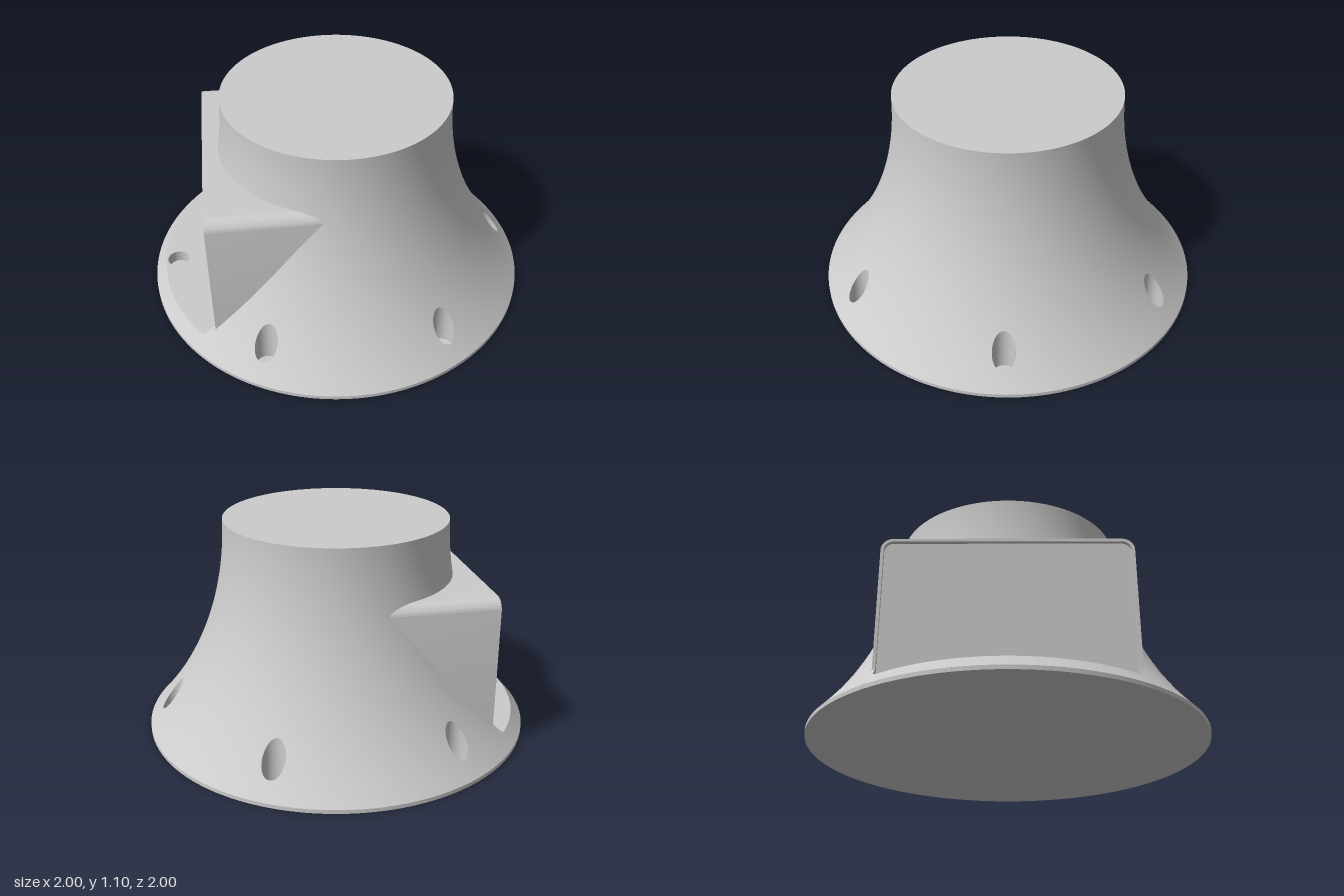
import * as THREE from 'three';
import { toCreasedNormals } from 'three/addons/utils/BufferGeometryUtils.js';

const H = 1.1, NECK = 0.573, ARC = 1.579, RIM = 0.02;
const BOLT_R = 0.875, HOLE = 0.057, FLOOR = 0.02;
const SHELF = 0.085, CUT = 0.58, PANEL = 0.66;
const rad = THREE.MathUtils.degToRad;

// The flare is one circular arc swept round the y axis
const radiusAt = (y) => NECK + ARC - Math.sqrt(ARC * ARC - (H - y) ** 2);
const heightAt = (r) => H - Math.sqrt(ARC * ARC - (NECK + ARC - r) ** 2);

const material = new THREE.MeshStandardMaterial({ color: 0xcccccc, side: THREE.DoubleSide });

// Grid surface of f(u, v); its front lies along dv x du
function grid(nu, nv, f, normalOf) {
  const pos = [], nor = [], idx = [];
  for (let j = 0; j <= nv; j++) {
    for (let i = 0; i <= nu; i++) {
      const p = f(i / nu, j / nv);
      pos.push(...p);
      if (normalOf) nor.push(...normalOf(p));
      if (i < nu && j < nv) {
        const a = j * (nu + 1) + i, c = a + nu + 1;
        idx.push(a, c, a + 1, a + 1, c, c + 1);
      }
    }
  }
  const g = new THREE.BufferGeometry();
  g.setAttribute('position', new THREE.Float32BufferAttribute(pos, 3));
  g.setIndex(idx);
  if (normalOf) g.setAttribute('normal', new THREE.Float32BufferAttribute(nor, 3));
  else g.computeVertexNormals();
  return g;
}

const flarePoint = (a, y) => [radiusAt(y) * Math.cos(a), y, radiusAt(y) * Math.sin(a)];
function flareNormal([x, y, z]) {
  const r = Math.hypot(x, z), nr = (NECK + ARC - r) / ARC;
  return [nr * x / r, (H - y) / ARC, nr * z / r];
}

// Part of the flare between two angles and two heights (the upper may vary)
function band(a0, a1, y0, y1, nv) {
  const top = typeof y1 === 'function' ? y1 : () => y1;
  const nu = Math.max(4, Math.ceil((a1 - a0) / rad(1.5)));
  return grid(nu, nv, (u, v) => {
    const a = a0 + (a1 - a0) * u;
    return flarePoint(a, y0 + (top(a) - y0) * v);
  }, flareNormal);
}

// Angle and height where a vertical bolt hole breaks through the flare
function holeEdge(a0, t) {
  const dr = BOLT_R - HOLE * Math.cos(t), dt = HOLE * Math.sin(t);
  return [a0 + Math.atan2(dt, dr), heightAt(Math.hypot(dr, dt))];
}

export function createModel() {
  const model = new THREE.Group();
  const add = (name, geometry, parent = model) => {
    const mesh = new THREE.Mesh(geometry, material);
    mesh.name = name;
    parent.add(mesh);
    return mesh;
  };
  const part = (name) => {
    const g = new THREE.Group();
    g.name = name;
    model.add(g);
    return g;
  };

  // Flared body, open behind the hood
  const body = part('flaredBody');
  const LOW = 0.06, MID = 0.31, HIGH = 0.765, HALF = rad(8);
  const open = Math.PI - Math.atan2(CUT, PANEL);
  add('neck', band(-Math.PI, Math.PI, HIGH, H, 12), body);
  add('flare', band(-open, open, MID, HIGH, 16), body);
  add('skirt', band(-open, open, RIM, LOW, 2), body);
  const lipTop = (a) => {
    const s = Math.abs(Math.sin(a));
    return Math.max(SHELF, heightAt(Math.min(1, CUT / Math.max(s, 0.01))));
  };
  add('shelfLip', band(open, 2 * Math.PI - open, RIM, lipTop, 4), body);

  // Bolt holes, each in a patch that goes from a circle to a rectangle
  const holes = part('boltHoles');
  const centres = [-120, -60, 0, 60, 120].map(rad);
  const mid = heightAt(BOLT_R);
  let from = -open;
  for (const a0 of centres) {
    add('skirtBetweenHoles', band(from, a0 - HALF, LOW, MID, 10), body);
    from = a0 + HALF;
    add('holeSurround', grid(48, 8, (u, v) => {
      const t = u * 2 * Math.PI, s = Math.sin(t), c = Math.cos(t);
      const m = Math.max(Math.abs(s), Math.abs(c));
      const [ha, hy] = holeEdge(a0, t);
      const ra = a0 + HALF * s / m;
      const ry = mid + (c / m) * (c > 0 ? MID - mid : mid - LOW);
      return flarePoint(ha + (ra - ha) * v, hy + (ry - hy) * v);
    }, flareNormal), body);
    add('holeWall', grid(48, 1, (u, v) => {
      const [a, y] = holeEdge(a0, u * 2 * Math.PI);
      const r = radiusAt(y);
      return [r * Math.cos(a), v ? y : FLOOR, r * Math.sin(a)];
    }), holes);
  }
  add('skirtBetweenHoles', band(from, open, LOW, MID, 10), body);
  add('holeWall', new THREE.CylinderGeometry(HOLE, HOLE, SHELF - FLOOR, 48, 1, true), holes)
    .position.set(-BOLT_R, (SHELF + FLOOR) / 2, 0);
  for (const a of [...centres, Math.PI]) {
    add('holeFloor', new THREE.CircleGeometry(HOLE, 48).rotateX(-Math.PI / 2), holes)
      .position.set(BOLT_R * Math.cos(a), FLOOR + 0.001, BOLT_R * Math.sin(a));
  }

  // Base edge and end caps
  add('baseEdge', new THREE.CylinderGeometry(1, 1, RIM, 240, 1, true)).position.y = RIM / 2;
  add('baseBottom', new THREE.CircleGeometry(1, 240).rotateX(Math.PI / 2));
  add('topCap', new THREE.CircleGeometry(NECK, 240).rotateX(-Math.PI / 2)).position.y = H;

  // Flat shelf cut into the flare in front of the hood
  const shelfR = radiusAt(SHELF), phi = Math.asin(CUT / shelfR);
  const shelf = new THREE.Shape();
  shelf.moveTo(-PANEL, CUT);
  shelf.absarc(0, 0, shelfR, Math.PI - phi, Math.PI + phi, false);
  shelf.lineTo(-PANEL, -CUT);
  shelf.holes.push(new THREE.Path().absarc(-BOLT_R, 0, HOLE, 0, 2 * Math.PI, true));
  add('shelf', new THREE.ShapeGeometry(shelf, 48).rotateX(Math.PI / 2)).position.y = SHELF;

  // Small upright walls at both ends of the shelf
  const wall = new THREE.Shape();
  wall.moveTo(-PANEL, SHELF);
  wall.lineTo(-PANEL, heightAt(Math.hypot(PANEL, CUT)));
  for (let i = 1; i <= 6; i++) {
    const x = PANEL + (shelfR * Math.cos(phi) - PANEL) * i / 6;
    wall.lineTo(-x, heightAt(Math.hypot(x, CUT)));
  }
  for (const s of [-1, 1]) add('shelfEndWall', new THREE.ShapeGeometry(wall)).position.z = s * CUT;

  // Hood with rounded upper edges, and a thin rim round its recessed panel
  const hood = part('hood');
  const W = 0.595, T = 0.81, F = 0.06, B = 0.08, t = W - CUT;
  const outline = () => {
    const s = new THREE.Shape();
    s.moveTo(W, B);
    s.lineTo(W, T - F);
    s.absarc(W - F, T - F, F, 0, Math.PI / 2, false);
    s.lineTo(F - W, T);
    s.absarc(F - W, T - F, F, Math.PI / 2, Math.PI, false);
    s.lineTo(-W, B);
    return s;
  };
  const rim = outline();
  rim.lineTo(-CUT, B);
  rim.lineTo(-CUT, T - F);
  rim.absarc(F - W, T - F, F - t, Math.PI, Math.PI / 2, true);
  rim.lineTo(W - F, T - t);
  rim.absarc(W - F, T - F, F - t, Math.PI / 2, 0, true);
  rim.lineTo(CUT, B);
  const extrude = (shape, depth) => toCreasedNormals(
    new THREE.ExtrudeGeometry(shape, { depth, bevelEnabled: false, curveSegments: 10 }).rotateY(-Math.PI / 2),
    rad(30));
  add('hoodShell', extrude(outline(), PANEL - 0.1), hood).position.x = -0.1;
  add('hoodRim', extrude(rim, 0.02), hood).position.x = -PANEL;

  return model;
}
